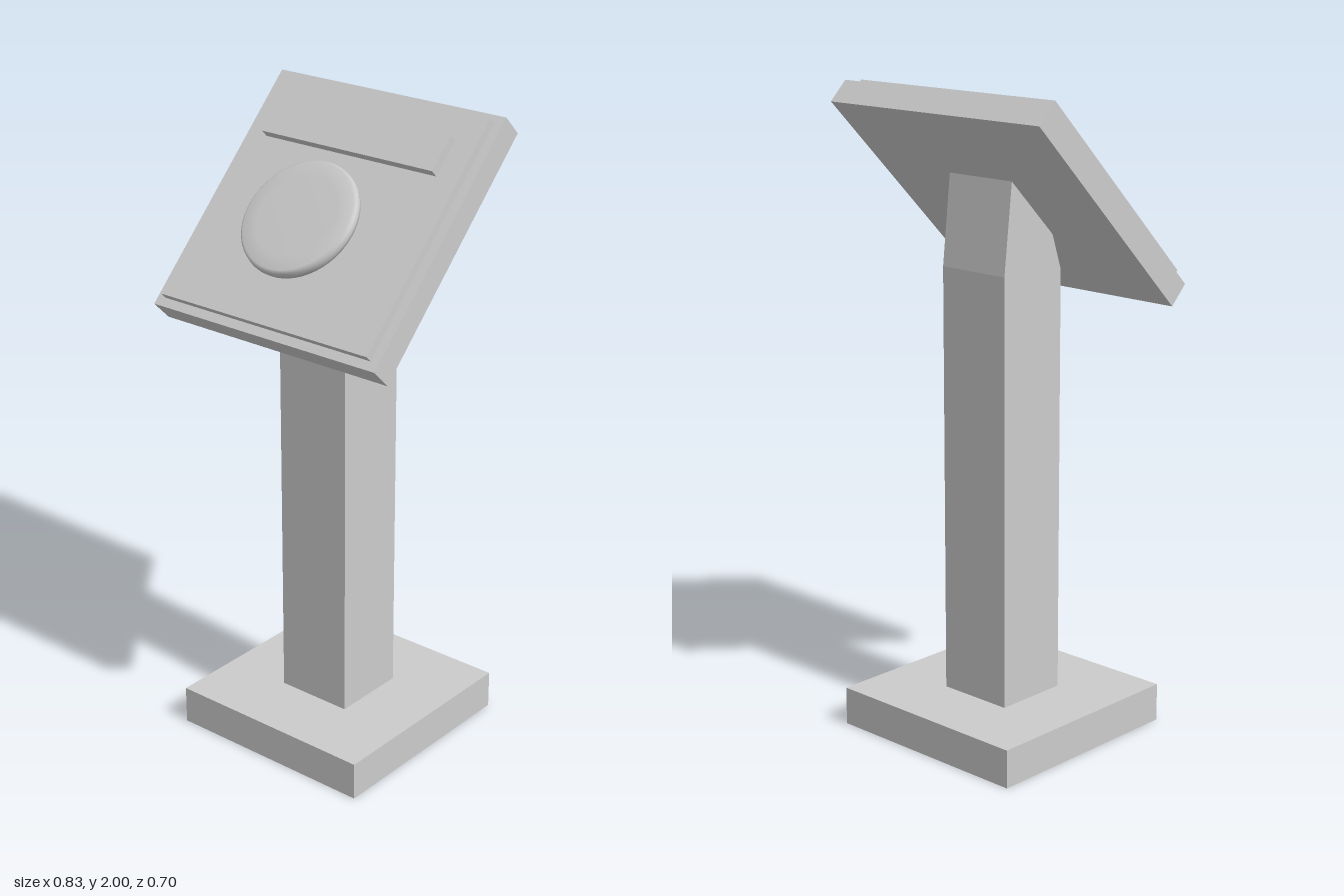
import * as THREE from 'three';

export function createModel() {
  const model = new THREE.Group();
  const material = new THREE.MeshStandardMaterial({ color: 0xcccccc });

  const add = (parent, name, geometry, x = 0, y = 0, z = 0) => {
    const mesh = new THREE.Mesh(geometry, material);
    mesh.name = name;
    mesh.position.set(x, y, z);
    parent.add(mesh);
    return mesh;
  };

  // Box on the panel: y runs up the slope, z is the height along its normal
  const slab = (parent, name, width, y0, y1, z0, z1, x = 0) =>
    add(parent, name, new THREE.BoxGeometry(width, y1 - y0, z1 - z0), x, (y0 + y1) / 2, (z0 + z1) / 2);

  // Square foot
  add(model, 'base', new THREE.BoxGeometry(0.69, 0.12, 0.69), 0, 0.06, 0);

  // Post: side profile tapering to the sloped underside of the panel
  const profile = new THREE.Shape([
    [-0.122, 0.12], [0.122, 0.12], [0.122, 1.46], [0.09, 1.745], [-0.08, 1.575], [-0.122, 1.45],
  ].map(([a, b]) => new THREE.Vector2(a, b)));
  const post = new THREE.ExtrudeGeometry(profile, { depth: 0.25, bevelEnabled: false });
  post.translate(0, 0, -0.125).rotateY(Math.PI / 2);
  add(model, 'post', post);

  // Panel tilted back 45 degrees
  const panel = new THREE.Group();
  panel.name = 'panel';
  panel.rotation.x = -Math.PI / 4;
  model.add(panel);
  slab(panel, 'backPlate', 0.83, 0.75, 1.578, 1.163, 1.246);
  slab(panel, 'facePlate', 0.772, 0.778, 1.552, 1.24, 1.272);
  slab(panel, 'displayBar', 0.63, 1.343, 1.464, 1.265, 1.301, -0.003);

  // Round button: flared stem under a disc with a softened rim
  const button = new THREE.LatheGeometry([
    [0.135, 0], [0.13, 0.012], [0.09, 0.02], [0.085, 0.034], [0.12, 0.042],
    [0.172, 0.044], [0.184, 0.05], [0.187, 0.062], [0.185, 0.076],
    [0.176, 0.084], [0.13, 0.087], [0, 0.087],
  ].map(([r, h]) => new THREE.Vector2(r, h)), 64);
  button.rotateX(Math.PI / 2);
  add(panel, 'button', button, 0, 1.092, 1.27);

  return model;
}
